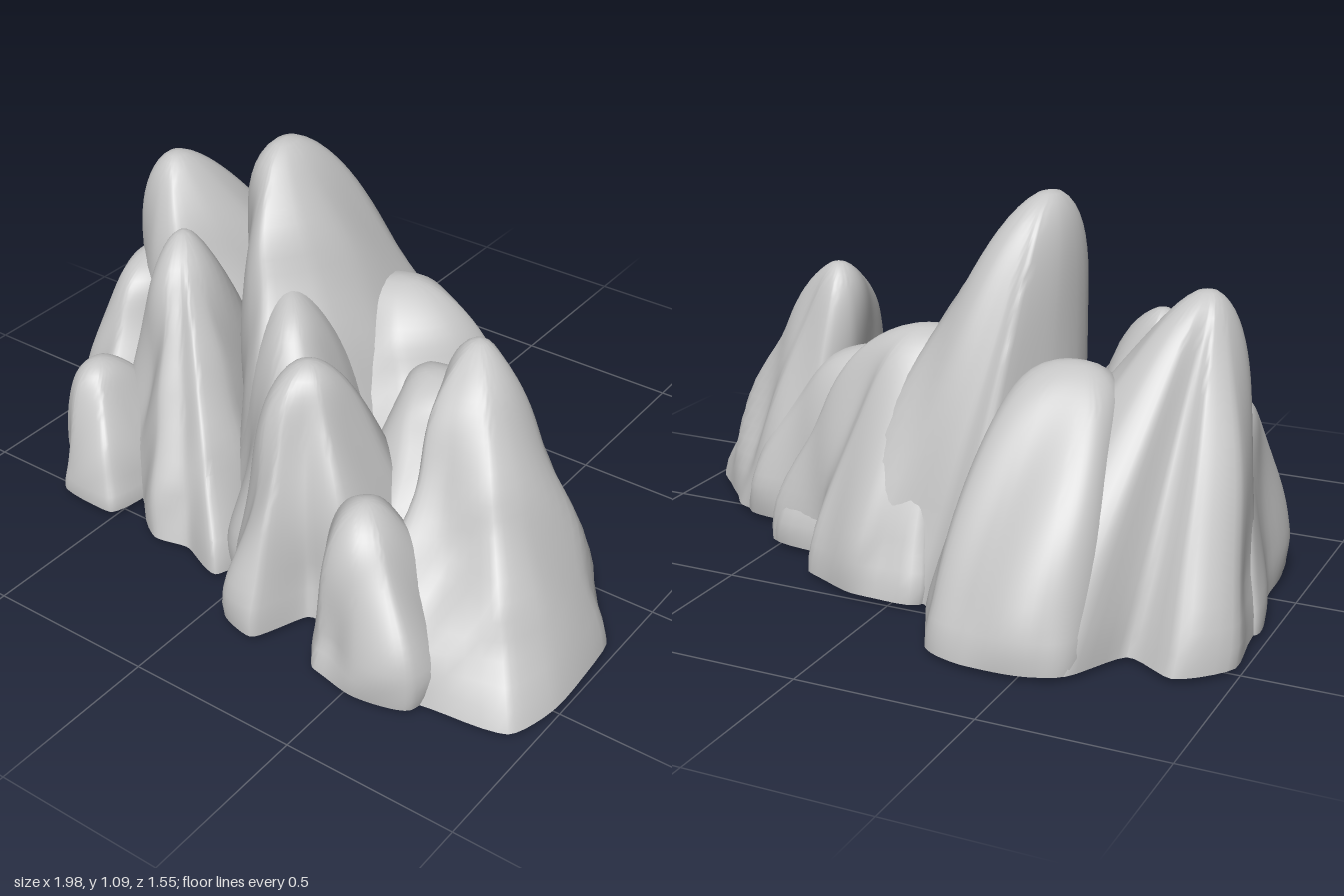
import * as THREE from 'three';
import { toCreasedNormals } from 'three/addons/utils/BufferGeometryUtils.js';

const SEGMENTS = 60, ROWS = 24;

// Smooth, repeatable weathering pattern
function weather(x, y, z) {
  return 0.5 * Math.sin(13 * x + 4 * y + 3 * z) * Math.cos(12 * z - 3 * y + 2 * x)
    + 0.3 * Math.sin(23 * x - 6 * y + 17 * z + 1.3)
    + 0.25 * Math.sin(9 * y + 7 * x - 8 * z + 0.6);
}

// A crag rises from a base outline of [x, z] points to a blunt, off-centre tip.
// power > 1 bulges the slopes, power < 1 hollows them; turn rotates the tip's oval.
function cragGeometry({ base, tip, radius, power, turn = 0 }) {
  const curve = new THREE.CatmullRomCurve3(
    base.map(([x, z]) => new THREE.Vector3(x, 0, z)), true, 'catmullrom', 0.3);
  const ring = [];
  for (let i = 0; i < SEGMENTS; i++) ring.push(curve.getPoint(i / SEGMENTS));
  let area = 0;
  const centre = new THREE.Vector3();
  ring.forEach((p, i) => {
    const q = ring[(i + 1) % SEGMENTS];
    area += p.x * q.z - q.x * p.z;
    centre.addScaledVector(p, 1 / SEGMENTS);
  });
  if (area < 0) ring.reverse();

  const [tx, ty, tz] = tip, [rx, rz] = radius;
  const cosT = Math.cos(turn), sinT = Math.sin(turn);
  const positions = [], indices = [];
  for (let j = 0; j <= ROWS; j++) {
    const t = 1 - Math.pow(1 - j / ROWS, 1.5);
    const w = Math.pow(t, power);
    const cap = Math.sqrt(Math.max(0, 1 - Math.pow(t, 12)));
    const tuck = 1 - 0.04 * Math.exp(-t * 18);
    for (const p of ring) {
      const a = Math.atan2(p.z - centre.z, p.x - centre.x);
      const bx = centre.x + (p.x - centre.x) * tuck;
      const bz = centre.z + (p.z - centre.z) * tuck;
      const u = rx * cap * Math.cos(a - turn), v = rz * cap * Math.sin(a - turn);
      const x = bx + (tx + u * cosT - v * sinT - bx) * w;
      const z = bz + (tz + u * sinT + v * cosT - bz) * w;
      const y = 0.015 + (ty - 0.015) * t;
      const push = 0.04 * weather(x, y, z) * cap * Math.min(1, 0.3 + t * 4) * (1 - 0.5 * t);
      positions.push(
        THREE.MathUtils.clamp(x + push * Math.cos(a), -1, 1), y, z + push * Math.sin(a));
    }
  }
  for (let j = 0; j < ROWS; j++) {
    for (let i = 0; i < SEGMENTS; i++) {
      const n = (i + 1) % SEGMENTS;
      const a = j * SEGMENTS + i, b = j * SEGMENTS + n;
      const c = a + SEGMENTS, d = b + SEGMENTS;
      indices.push(a, c, b);
      if (j < ROWS - 1) indices.push(b, c, d);
    }
  }
  // Underside
  const middle = positions.length / 3;
  positions.push(centre.x, 0, centre.z);
  for (let i = 0; i < SEGMENTS; i++) indices.push(middle, i, (i + 1) % SEGMENTS);

  const geometry = new THREE.BufferGeometry();
  geometry.setAttribute('position', new THREE.Float32BufferAttribute(positions, 3));
  geometry.setIndex(indices);
  return toCreasedNormals(geometry, 0.9);
}

const CRAGS = {
  mainSpire: {
    tip: [-0.26, 1.09, -0.01], radius: [0.085, 0.13], power: 1.1,
    base: [[-0.35, 0.1], [-0.36, -0.25], [-0.22, -0.56], [-0.1, -0.5], [0.1, -0.5], [0.3, -0.4],
      [0.36, 0], [0.32, 0.3], [0.12, 0.6], [-0.05, 0.5], [-0.22, 0.3]],
  },
  // Crest stepping down from the main spire to the front
  mainFrontRidge: {
    tip: [-0.08, 0.76, 0.21], radius: [0.16, 0.07], power: 1.2, turn: 0.85,
    base: [[-0.32, 0], [-0.22, 0.3], [-0.08, 0.52], [0.1, 0.62], [0.3, 0.5], [0.34, 0.15],
      [0.1, -0.1]],
  },
  rightHandSpire: {
    tip: [-0.745, 0.88, -0.09], radius: [0.08, 0.09], power: 1.05,
    base: [[-0.88, 0], [-0.98, -0.25], [-1, -0.5], [-0.87, -0.63], [-0.72, -0.56], [-0.62, -0.74],
      [-0.45, -0.78], [-0.25, -0.72], [-0.17, -0.45], [-0.2, -0.1], [-0.35, 0.25], [-0.62, 0.2]],
  },
  leftHandSpire: {
    tip: [0.5, 0.78, 0.15], radius: [0.08, 0.075], power: 1,
    base: [[0.42, 0.1], [0.52, -0.1], [0.75, -0.06], [0.82, 0.03], [0.98, 0.2], [1, 0.5],
      [0.95, 0.67], [0.7, 0.71], [0.52, 0.75], [0.44, 0.45]],
  },
  frontRightCrag: {
    tip: [-0.55, 0.76, 0.12], radius: [0.06, 0.07], power: 1.1,
    base: [[-0.82, 0.1], [-0.66, 0.35], [-0.5, 0.44], [-0.32, 0.58], [-0.2, 0.56], [-0.06, 0.6],
      [-0.04, 0.4], [-0.22, 0], [-0.5, -0.2]],
  },
  frontMiddleCrag: {
    tip: [0.12, 0.7, 0.4], radius: [0.075, 0.075], power: 1.2,
    base: [[-0.06, 0.28], [-0.02, 0.56], [0.06, 0.72], [0.18, 0.75], [0.26, 0.6], [0.4, 0.56],
      [0.45, 0.2], [0.2, 0.05]],
  },
  frontLeftCrag: {
    tip: [0.42, 0.46, 0.55], radius: [0.06, 0.07], power: 1.4,
    base: [[0.22, 0.5], [0.32, 0.65], [0.38, 0.76], [0.54, 0.78], [0.7, 0.73], [0.68, 0.45],
      [0.42, 0.3]],
  },
  frontRightFoot: {
    tip: [-0.7, 0.38, 0.35], radius: [0.05, 0.06], power: 1.25,
    base: [[-0.9, 0.08], [-0.89, 0.3], [-0.76, 0.45], [-0.7, 0.55], [-0.5, 0.56], [-0.46, 0.4],
      [-0.48, 0.1]],
  },
  rightShoulder: {
    tip: [-0.79, 0.57, -0.02], radius: [0.08, 0.13], power: 1.5,
    base: [[-0.98, -0.3], [-0.94, -0.08], [-0.9, 0.22], [-0.72, 0.36], [-0.55, 0.1],
      [-0.7, -0.35]],
  },
  backRightRidge: {
    tip: [-0.45, 0.7, -0.29], radius: [0.15, 0.09], power: 1.4,
    base: [[-0.65, -0.68], [-0.55, -0.77], [-0.35, -0.79], [-0.21, -0.73], [-0.13, -0.5],
      [-0.2, -0.1], [-0.68, 0]],
  },
  backMiddleRidge: {
    tip: [0.06, 0.7, -0.12], radius: [0.15, 0.09], power: 1.25, turn: -0.4,
    base: [[-0.12, -0.48], [0.1, -0.51], [0.3, -0.42], [0.34, -0.28], [0.53, -0.24], [0.55, -0.05],
      [0.42, 0.3], [0, 0.3]],
  },
  backLeftRidge: {
    tip: [0.31, 0.56, 0.05], radius: [0.13, 0.09], power: 1.3,
    base: [[0.15, -0.28], [0.5, -0.26], [0.55, -0.11], [0.7, -0.08], [0.79, 0.02], [0.82, 0.3],
      [0.4, 0.5], [0.2, 0.3]],
  },
};

export function createModel() {
  const model = new THREE.Group();
  model.name = 'rockFormation';
  const stone = new THREE.MeshStandardMaterial({ color: 0xc6c6c6 });
  stone.name = 'grey stone';
  for (const [name, crag] of Object.entries(CRAGS)) {
    const mesh = new THREE.Mesh(cragGeometry(crag), stone);
    mesh.name = name;
    model.add(mesh);
  }
  return model;
}
